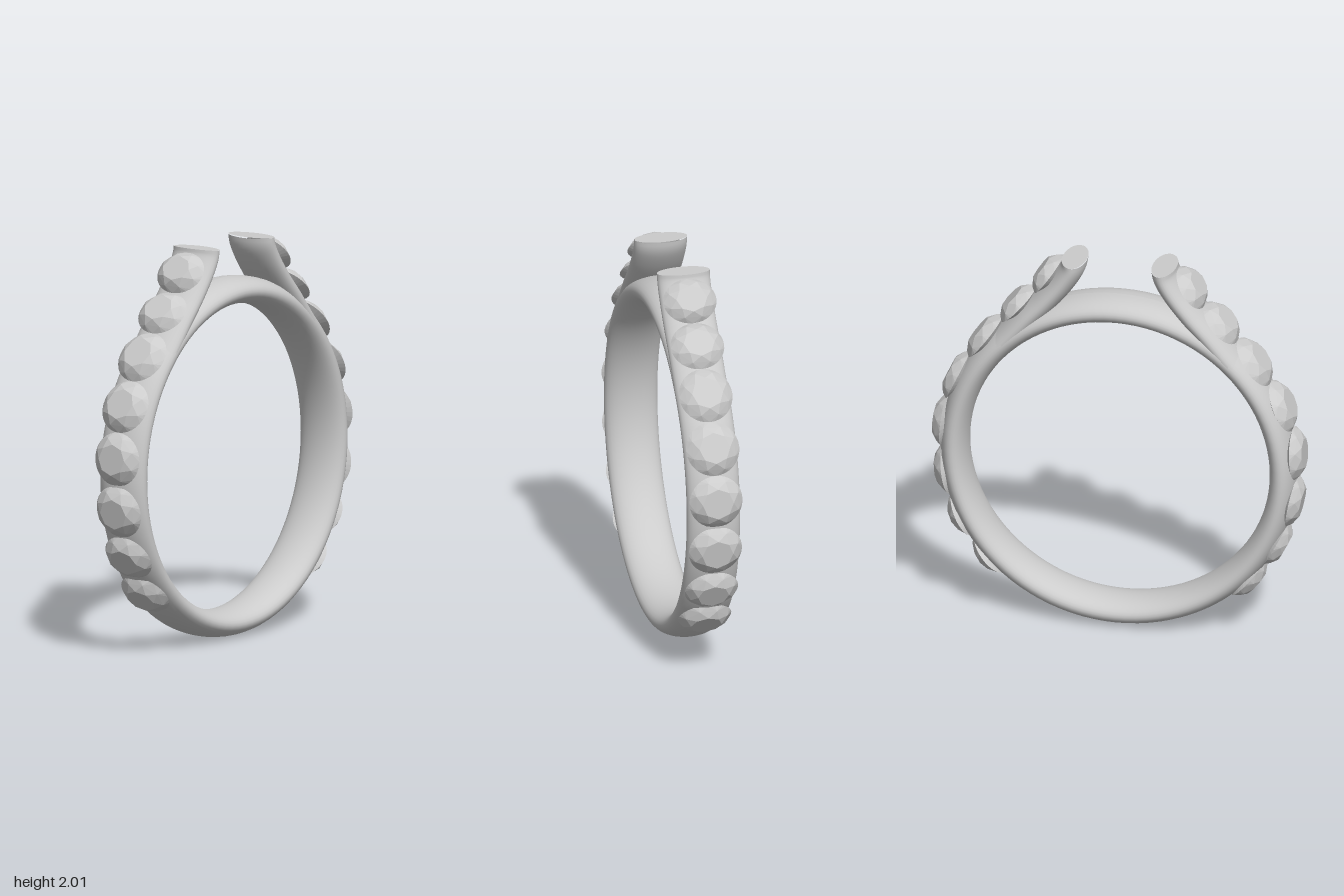
import * as THREE from 'three';
import { ConvexGeometry } from 'three/addons/geometries/ConvexGeometry.js';

const CENTRE_Y = 0.91, RADIUS = 0.841, THICK = 0.069, HALF_WIDTH = 0.137;

// Points where neighbouring gems touch, from the lowest up to the open tip
const SEAMS = [
  [0.578, 0.21], [0.743, 0.4], [0.86, 0.62], [0.905, 0.885], [0.885, 1.155],
  [0.77, 1.4], [0.602, 1.62], [0.432, 1.8], [0.295, 1.985],
];

// Centre line of a shoulder, leaving the band and rising to the flat tip
const SHOULDER = [
  [0.68, 1.41], [0.565, 1.543], [0.46, 1.668], [0.375, 1.762],
  [0.29, 1.87], [0.242, 1.95], [0.232, 1.98], [0.23, 2],
];

// Round cut gem of unit radius in x: table, break ring, girdle, pavilion point
function gemGeometry() {
  const pts = [new THREE.Vector3(0, -0.06, 0)];
  const ring = (n, r, y, turn = 0) => {
    for (let i = 0; i < n; i++) {
      const a = ((i + turn) / n) * Math.PI * 2;
      pts.push(new THREE.Vector3(Math.cos(a) * r, y, Math.sin(a) * r * HALF_WIDTH));
    }
  };
  ring(32, 1, 0);
  ring(8, 0.85, 0.027, 0.5);
  ring(8, 0.58, 0.051);
  return new ConvexGeometry(pts);
}

export function createModel() {
  const model = new THREE.Group();
  const metal = new THREE.MeshStandardMaterial({ color: 0xcccccc });
  const stone = new THREE.MeshStandardMaterial({ color: 0xcccccc, flatShading: true });
  const add = (parent, geometry, name, material = metal) => {
    const mesh = new THREE.Mesh(geometry, material);
    mesh.name = name;
    parent.add(mesh);
    return mesh;
  };

  // Band: an oval section turned about the z axis
  const section = [];
  for (let i = 0; i <= 32; i++) {
    const a = (i / 32) * Math.PI * 2;
    section.push(new THREE.Vector2(RADIUS + THICK * Math.cos(a), HALF_WIDTH * Math.sin(a)));
  }
  const band = add(model, new THREE.LatheGeometry(section, 96).rotateX(Math.PI / 2), 'band');
  band.position.y = CENTRE_Y;

  const gem = gemGeometry();
  for (const side of [1, -1]) {
    const half = new THREE.Group();
    half.name = side > 0 ? 'leftSide' : 'rightSide';
    model.add(half);

    // Shoulder: a round tube stretched in z to match the band
    const path = new THREE.CatmullRomCurve3(
      SHOULDER.map(([x, y]) => new THREE.Vector3(side * x, y, 0)));
    const r = 0.063, stretch = (HALF_WIDTH - 0.001) / r;
    add(half, new THREE.TubeGeometry(path, 48, r, 32).scale(1, 1, stretch), 'shoulder');

    // Flat end of the shoulder
    const cap = new THREE.CircleGeometry(r, 32).rotateX(-Math.PI / 2).scale(1, 1, stretch);
    add(half, cap, 'shoulderTip').position.set(side * 0.23, 2, 0);

    // Row of gems, each spanning two seams and facing outward
    for (let i = 0; i < SEAMS.length - 1; i++) {
      const [x0, y0] = SEAMS[i], [x1, y1] = SEAMS[i + 1];
      const length = Math.hypot(x1 - x0, y1 - y0);
      const out = new THREE.Vector3(side * (y1 - y0), x0 - x1, 0).normalize();
      const across = new THREE.Vector3(0, 0, 1);
      const along = new THREE.Vector3().crossVectors(out, across);
      const mesh = add(half, gem, 'gem', stone);
      mesh.quaternion.setFromRotationMatrix(new THREE.Matrix4().makeBasis(along, out, across));
      mesh.position.set((side * (x0 + x1)) / 2, (y0 + y1) / 2, 0);
      mesh.scale.x = length / 2;
    }
  }
  return model;
}
